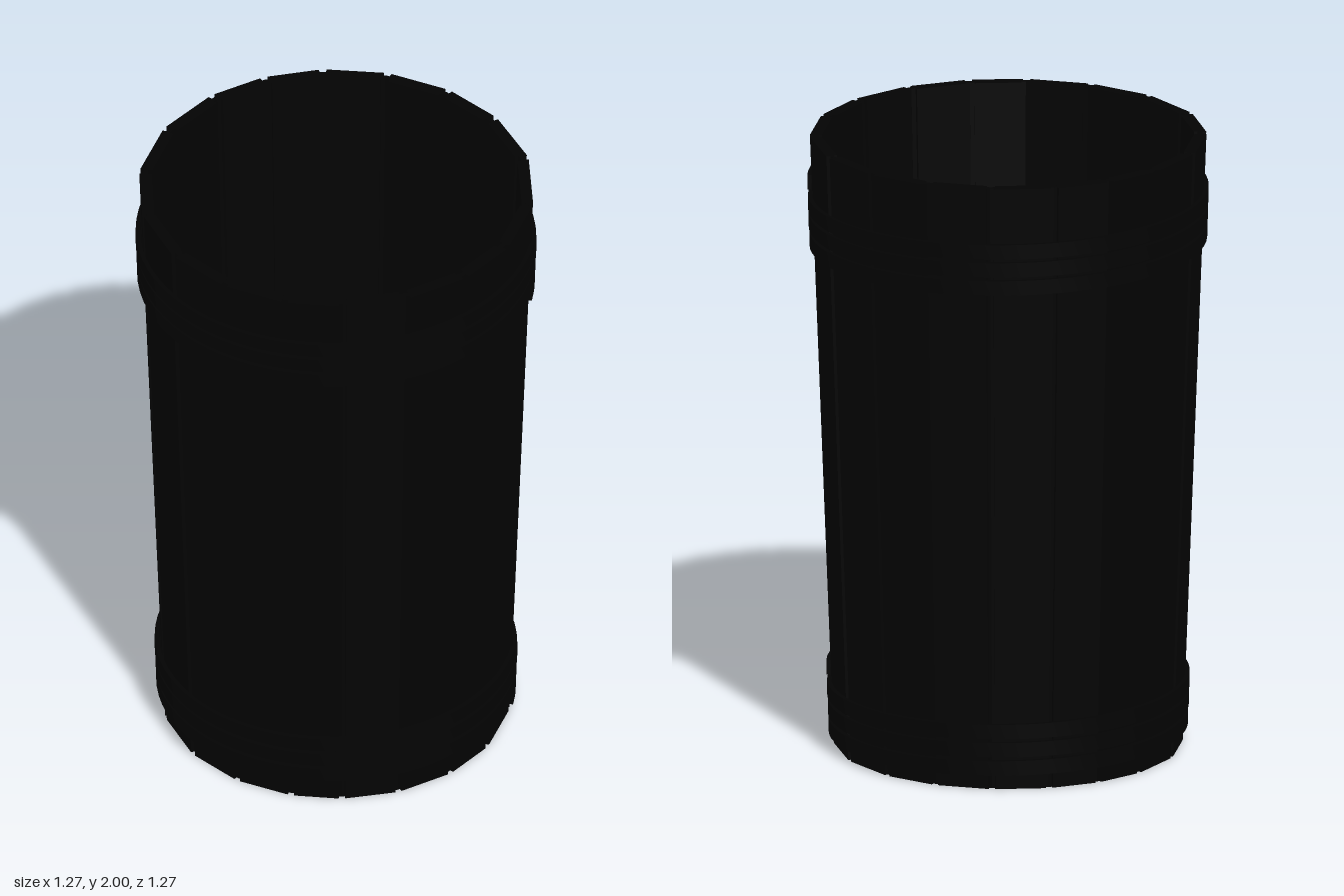
import * as THREE from 'three';
import { toCreasedNormals } from 'three/addons/utils/BufferGeometryUtils.js';

const HEIGHT = 2;
const RADIUS = 0.555; // outer corner radius of the staves at the ground
const INNER = 0.512;
const flare = (y) => 1 + 0.068 * y;
const rad = THREE.MathUtils.degToRad;

// Seams between the uneven staves, in degrees clockwise from the back
const SEAMS = [1, 20.5, 39.5, 61, 84, 106, 125, 145, 164, 181, 200.5, 221, 243, 264, 286, 307, 324.5, 342];

// One flat plank with rebated long edges, flaring outward with height
function staveGeometry(from, to) {
  const half = rad(to - from) / 2, mid = rad(from + to) / 2;
  const outer = RADIUS * Math.cos(half), groove = 0.011;
  const side = (v) => v * Math.tan(half);
  const innerStep = INNER + 0.01, outerStep = outer - 0.012;
  const right = [
    [side(INNER) - groove, INNER], [side(INNER) - groove, innerStep], [side(innerStep), innerStep],
    [side(outerStep), outerStep], [side(outer) - groove, outerStep], [side(outer) - groove, outer],
  ];
  const left = right.map(([u, v]) => [-u, v]).reverse();
  const shape = new THREE.Shape([...right, ...left].map(([u, v]) => new THREE.Vector2(
    u * Math.cos(mid) + v * Math.sin(mid), v * Math.cos(mid) - u * Math.sin(mid))));
  const geo = new THREE.ExtrudeGeometry(shape, { depth: HEIGHT, bevelEnabled: false });
  geo.rotateX(-Math.PI / 2);
  const p = geo.attributes.position;
  for (let i = 0; i < p.count; i++) {
    const k = flare(p.getY(i));
    p.setX(i, p.getX(i) * k);
    p.setZ(i, p.getZ(i) * k);
  }
  geo.computeVertexNormals();
  return geo;
}

// A flat strap wound three turns downward around the staves
function strapGeometry(top, bottom) {
  const turns = 3, steps = 72 * turns, halfHeight = 0.024;
  const pos = [], index = [];
  for (let s = 0; s <= steps; s++) {
    const t = s / steps, a = rad(-4) + t * turns * Math.PI * 2;
    const y = top + (bottom - top) * t;
    const r0 = RADIUS * flare(y) - 0.001, r1 = r0 + 0.013;
    for (const [r, dy] of [[r0, -halfHeight], [r1, -halfHeight], [r1, halfHeight], [r0, halfHeight]]) {
      pos.push(r * Math.cos(a), y + dy, r * Math.sin(a));
    }
    if (s === steps) break;
    for (let i = 0; i < 4; i++) {
      const a0 = s * 4 + i, b0 = s * 4 + (i + 1) % 4;
      index.push(a0, b0, b0 + 4, a0, b0 + 4, a0 + 4);
    }
  }
  const e = steps * 4;
  index.push(0, 3, 2, 0, 2, 1, e, e + 1, e + 2, e, e + 2, e + 3);
  const geo = new THREE.BufferGeometry();
  geo.setAttribute('position', new THREE.Float32BufferAttribute(pos, 3));
  geo.setIndex(index);
  return toCreasedNormals(geo, rad(40));
}

export function createModel() {
  const black = new THREE.MeshStandardMaterial({ color: 0x030303 });
  black.name = 'black';
  const model = new THREE.Group();
  model.name = 'tub';
  const add = (name, geo, parent = model) => {
    const mesh = new THREE.Mesh(geo, black);
    mesh.name = name;
    parent.add(mesh);
    return mesh;
  };

  // Wall of staves
  const wall = new THREE.Group();
  wall.name = 'staves';
  model.add(wall);
  SEAMS.forEach((from, i) => {
    const to = i + 1 < SEAMS.length ? SEAMS[i + 1] : SEAMS[0] + 360;
    add('stave', staveGeometry(from, to), wall);
  });

  // Straps near the rim and the foot
  add('upperStrap', strapGeometry(1.84, 1.66));
  add('lowerStrap', strapGeometry(0.24, 0.058));

  // Floor disc, just clear of the staves
  add('floor', new THREE.CylinderGeometry(0.507, 0.507, 0.05, 64)).position.y = 0.04;

  return model;
}
